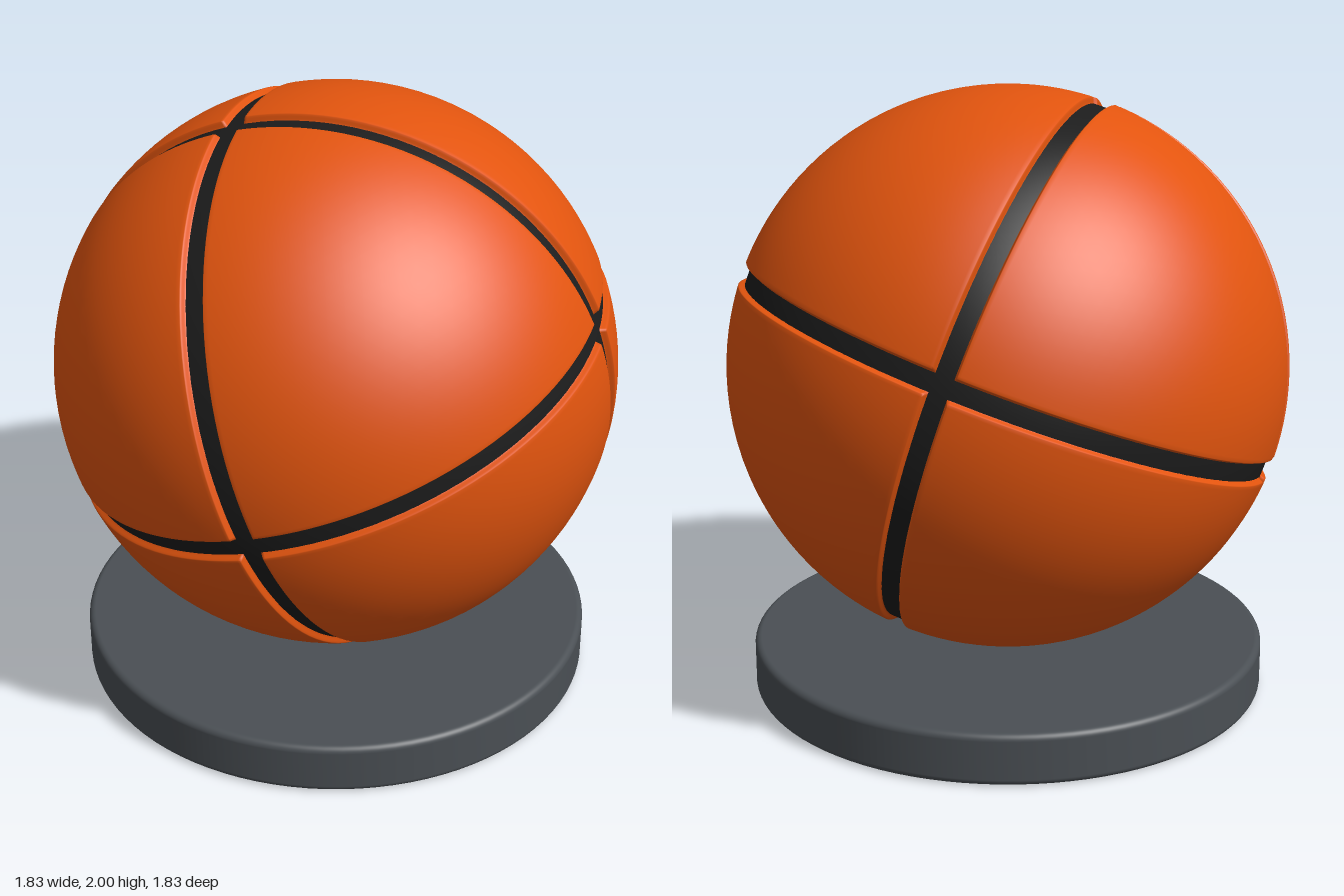
import * as THREE from 'three';
import { mergeVertices } from 'three/addons/utils/BufferGeometryUtils.js';

const R = 0.915;          // ball radius
const DEPTH = 0.02;       // groove depth
const S_TOP = 0.044;      // sine of the half groove at its rim
const S_LOW = 0.031;      // sine of the half groove at its floor
const N = 36;             // panel subdivisions
const WALL = 5;           // steps down the groove wall

// Tilted axes of the ball: the six seam crossings lie on them
const A = new THREE.Vector3(0.4, -0.18, 0.8).normalize();
const B = new THREE.Vector3(0.8, 0.28, -0.34);
B.addScaledVector(A, -B.dot(A)).normalize();
const C = new THREE.Vector3().crossVectors(A, B);

// Point in one octant; s is the distance kept from each seam plane
function panelPoint(u, v, w, s, r, signs) {
  const sum = u * u + v * v + w * w;
  const [a, b, c] = [u, v, w].map((k) => Math.sqrt(s * s + (1 - 3 * s * s) * k * k / sum));
  return new THREE.Vector3()
    .addScaledVector(A, a * signs[0])
    .addScaledVector(B, b * signs[1])
    .addScaledVector(C, c * signs[2])
    .multiplyScalar(r);
}

// One eighth of the cover, with rounded walls going down into the grooves
function panelGeometry(signs) {
  const positions = [];
  const flip = signs[0] * signs[1] * signs[2] < 0;
  const tri = (p, q, r) => {
    for (const k of flip ? [p, r, q] : [p, q, r]) positions.push(k.x, k.y, k.z);
  };

  const top = (i, j) => panelPoint(i / N, j / N, (N - i - j) / N, S_TOP, R, signs);
  for (let i = 0; i < N; i++) {
    for (let j = 0; j < N - i; j++) {
      tri(top(i, j), top(i + 1, j), top(i, j + 1));
      if (i + j < N - 1) tri(top(i + 1, j), top(i + 1, j + 1), top(i, j + 1));
    }
  }

  // Rim point n of the loop A -> B -> C, at wall step k
  const rim = (n, k) => {
    const side = Math.floor(n / N) % 3;
    const f = (n % N) / N;
    const uvw = [0, 0, 0];
    uvw[side] = 1 - f;
    uvw[(side + 1) % 3] = f;
    const t = k / WALL;
    const s = S_TOP + (S_LOW - S_TOP) * t;
    const r = R - (DEPTH + 0.002) * t * t * (3 - 2 * t);
    return panelPoint(...uvw, s, r, signs);
  };
  for (let n = 0; n < 3 * N; n++) {
    for (let k = 0; k < WALL; k++) {
      tri(rim(n, k + 1), rim(n + 1, k + 1), rim(n, k));
      tri(rim(n + 1, k + 1), rim(n + 1, k), rim(n, k));
    }
  }

  let geo = new THREE.BufferGeometry();
  geo.setAttribute('position', new THREE.Float32BufferAttribute(positions, 3));
  geo = mergeVertices(geo, 1e-5);
  geo.computeVertexNormals();
  return geo;
}

// Round disc with softened edges
function baseGeometry(radius, height, bevel) {
  const shape = new THREE.Path();
  shape.moveTo(0, 0);
  shape.lineTo(radius - bevel, 0);
  shape.absarc(radius - bevel, bevel, bevel, -Math.PI / 2, 0, false);
  shape.absarc(radius - bevel, height - bevel, bevel, 0, Math.PI / 2, false);
  shape.lineTo(0, height);
  return new THREE.LatheGeometry(shape.getPoints(6), 96);
}

export function createModel() {
  const material = (name, color) => {
    const m = new THREE.MeshStandardMaterial({ color });
    m.name = name;
    return m;
  };
  const orange = material('orange', 0xe2540e);
  const black = material('black', 0x1c1c1c);
  const grey = material('grey', 0x4a4f54);

  const model = new THREE.Group();
  model.name = 'ballOnStand';

  const base = new THREE.Mesh(baseGeometry(0.855, 0.17, 0.022), grey);
  base.name = 'standDisc';
  model.add(base);

  const ball = new THREE.Group();
  ball.name = 'ball';
  ball.position.y = 2 - R;
  model.add(ball);

  // Dark core shows as the floor of the grooves
  const core = new THREE.Mesh(new THREE.SphereGeometry(R - DEPTH, 128, 80), black);
  core.name = 'seams';
  ball.add(core);

  // Eight cover panels
  for (const a of [1, -1]) {
    for (const b of [1, -1]) {
      for (const c of [1, -1]) {
        const panel = new THREE.Mesh(panelGeometry([a, b, c]), orange);
        panel.name = 'panel';
        ball.add(panel);
      }
    }
  }
  return model;
}
